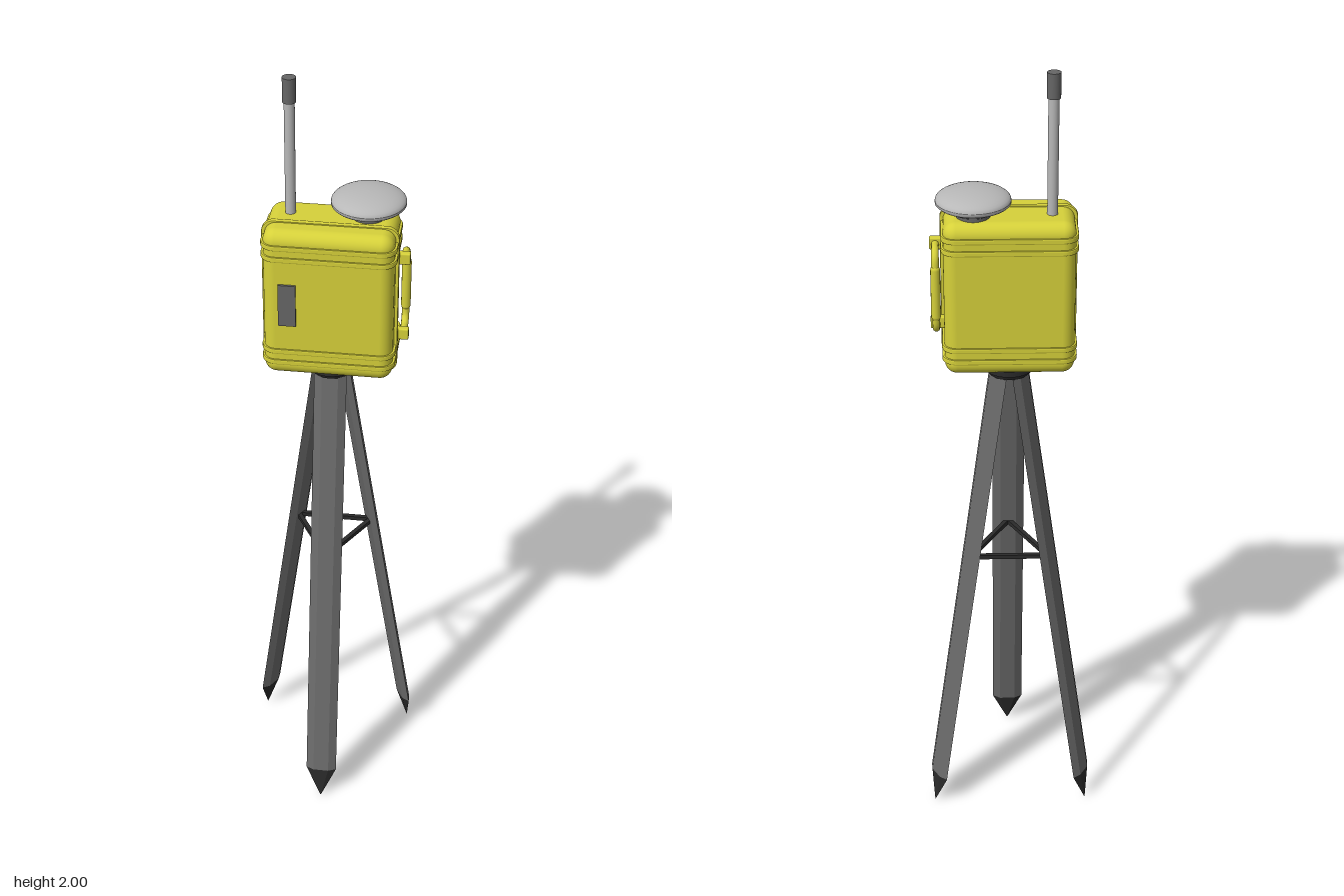
import * as THREE from 'three';
import { RoundedBoxGeometry } from 'three/addons/geometries/RoundedBoxGeometry.js';

const mat = (color, flatShading = false) => new THREE.MeshStandardMaterial({ color, flatShading });
const yellow = mat(0xd6d13a);
const legGrey = mat(0x6a6a6a, true);
const dark = mat(0x2b2b2b, true);
const midGrey = mat(0x666666);
const lightGrey = mat(0xb8b8b8);

function add(parent, name, geometry, material, x = 0, y = 0, z = 0) {
  const mesh = new THREE.Mesh(geometry, material);
  mesh.name = name;
  mesh.position.set(x, y, z);
  parent.add(mesh);
  return mesh;
}

// Rounded rectangle slab, centred, with its thickness along z
function roundedSlab(w, h, r, thickness) {
  const s = new THREE.Shape();
  const x = w / 2, y = h / 2;
  s.absarc(x - r, y - r, r, 0, Math.PI / 2);
  s.absarc(-x + r, y - r, r, Math.PI / 2, Math.PI);
  s.absarc(-x + r, -y + r, r, Math.PI, Math.PI * 1.5);
  s.absarc(x - r, -y + r, r, Math.PI * 1.5, Math.PI * 2);
  const bevel = 0.003;
  const g = new THREE.ExtrudeGeometry(s, {
    depth: thickness - 2 * bevel, bevelThickness: bevel, bevelSize: bevel,
    bevelOffset: -bevel, bevelSegments: 2, curveSegments: 8,
  });
  return g.translate(0, 0, -thickness / 2 + bevel);
}

function makeTripod() {
  const tripod = new THREE.Group();
  tripod.name = 'tripod';
  tripod.position.z = -0.049;
  const footR = 0.232, topR = 0.03, height = 1.255;
  const length = Math.hypot(footR - topR, height), tip = 0.088;
  const hex = (top, bottom, h) =>
    new THREE.CylinderGeometry(top, bottom, h, 6).rotateY(Math.PI / 2).scale(1, 1, 0.3);

  for (let i = 0; i < 3; i++) {
    const arm = new THREE.Group();
    arm.name = 'legArm';
    arm.rotation.y = (i * Math.PI * 2) / 3;
    tripod.add(arm);

    // Flat six-sided leg with a pointed foot
    const leg = new THREE.Group();
    leg.name = 'leg';
    leg.position.z = footR;
    leg.rotation.x = Math.atan2(topR - footR, height);
    add(leg, 'legShaft', hex(0.04, 0.04, length - tip), legGrey, 0, (length + tip) / 2, 0);
    add(leg, 'footSpike', hex(0.04, 0.001, tip), dark, 0, tip / 2, 0);
    arm.add(leg);

    // Spreader bar on the side opposite this leg
    const r = footR + (topR - footR) * (0.742 / height);
    add(arm, 'spreaderBar', new THREE.BoxGeometry(r * Math.sqrt(3), 0.011, 0.011),
      dark, 0, 0.742, -r / 2);
  }

  // Mounting head
  const head = mat(0x2b2b2b);
  add(tripod, 'headPlate', new THREE.CylinderGeometry(0.063, 0.063, 0.014, 32), head, 0, 1.265, 0);
  add(tripod, 'headCollar', new THREE.CylinderGeometry(0.056, 0.05, 0.014, 32), head, 0, 1.251, 0);
  return tripod;
}

function makeCase() {
  const box = new THREE.Group();
  box.name = 'case';
  add(box, 'caseBody', new RoundedBoxGeometry(0.308, 0.388, 0.177, 5, 0.03), yellow, 0, 1.466, -0.044);
  // Seam between lid and body
  add(box, 'lidSeam', roundedSlab(0.324, 0.394, 0.03, 0.014), yellow, 0, 1.466, -0.016);
  // Ribs running round the case
  for (const side of [-1, 1]) for (const offset of [0.125, 0.155]) {
    const rib = add(box, 'rib', roundedSlab(0.32, 0.184, 0.036, 0.014), yellow,
      0, 1.466 + side * offset, -0.044);
    rib.rotation.x = Math.PI / 2;
  }
  add(box, 'frontPanel', new THREE.BoxGeometry(0.042, 0.11, 0.012), midGrey, -0.095, 1.471, 0.044);
  return box;
}

function makeHandle() {
  const handle = new THREE.Group();
  handle.name = 'handle';
  handle.position.set(0.173, 1.473, 0);
  for (const s of [-1, 1]) {
    add(handle, 'handleBracket', new RoundedBoxGeometry(0.036, 0.03, 0.018, 2, 0.004),
      yellow, -0.004, s * 0.103, -0.031);
  }
  const P = (y, z) => new THREE.Vector3(0, y, z);
  const half = [P(0.103, -0.03), P(0.103, -0.05), P(0.101, -0.07), P(0.088, -0.085), P(0.065, -0.09)];
  const points = [...half, P(0, -0.09), ...half.map((p) => P(-p.y, p.z)).reverse()];
  add(handle, 'handleLoop',
    new THREE.TubeGeometry(new THREE.CatmullRomCurve3(points), 48, 0.009, 10), yellow);
  add(handle, 'handleGrip', new THREE.CapsuleGeometry(0.0115, 0.12, 4, 14), yellow, 0, 0, -0.09);
  return handle;
}

function makeReceivers() {
  const group = new THREE.Group();
  group.name = 'antennas';
  // Rod antenna with a dark cap
  add(group, 'antennaRod', new THREE.CylinderGeometry(0.0125, 0.0125, 0.3, 24), lightGrey, -0.1, 1.795, -0.063);
  add(group, 'antennaCap', new THREE.CylinderGeometry(0.016, 0.016, 0.06, 24), midGrey, -0.1, 1.97, -0.063);
  // Domed disc: neck, flared underside, rim, dome; each run keeps its own normals
  const dome = [];
  for (let i = 0; i <= 10; i++) {
    const a = (i / 10) * Math.PI / 2;
    dome.push([0.088 * Math.cos(a), 1.7 + 0.026 * Math.sin(a)]);
  }
  dome[10][0] = 0;
  const runs = {
    discNeck: [[0.04, 1.65], [0.04, 1.667]],
    discUnderside: [[0.04, 1.667], [0.058, 1.676], [0.084, 1.69]],
    discRim: [[0.084, 1.69], [0.088, 1.694], [0.088, 1.7]],
    discDome: dome,
  };
  for (const [name, pts] of Object.entries(runs)) {
    add(group, name, new THREE.LatheGeometry(pts.map((p) => new THREE.Vector2(...p)), 48),
      name === 'discNeck' ? midGrey : lightGrey, 0.083, 0, -0.069);
  }
  return group;
}

export function createModel() {
  const model = new THREE.Group();
  model.name = 'tripodStation';
  model.add(makeTripod(), makeCase(), makeHandle(), makeReceivers());
  return model;
}
